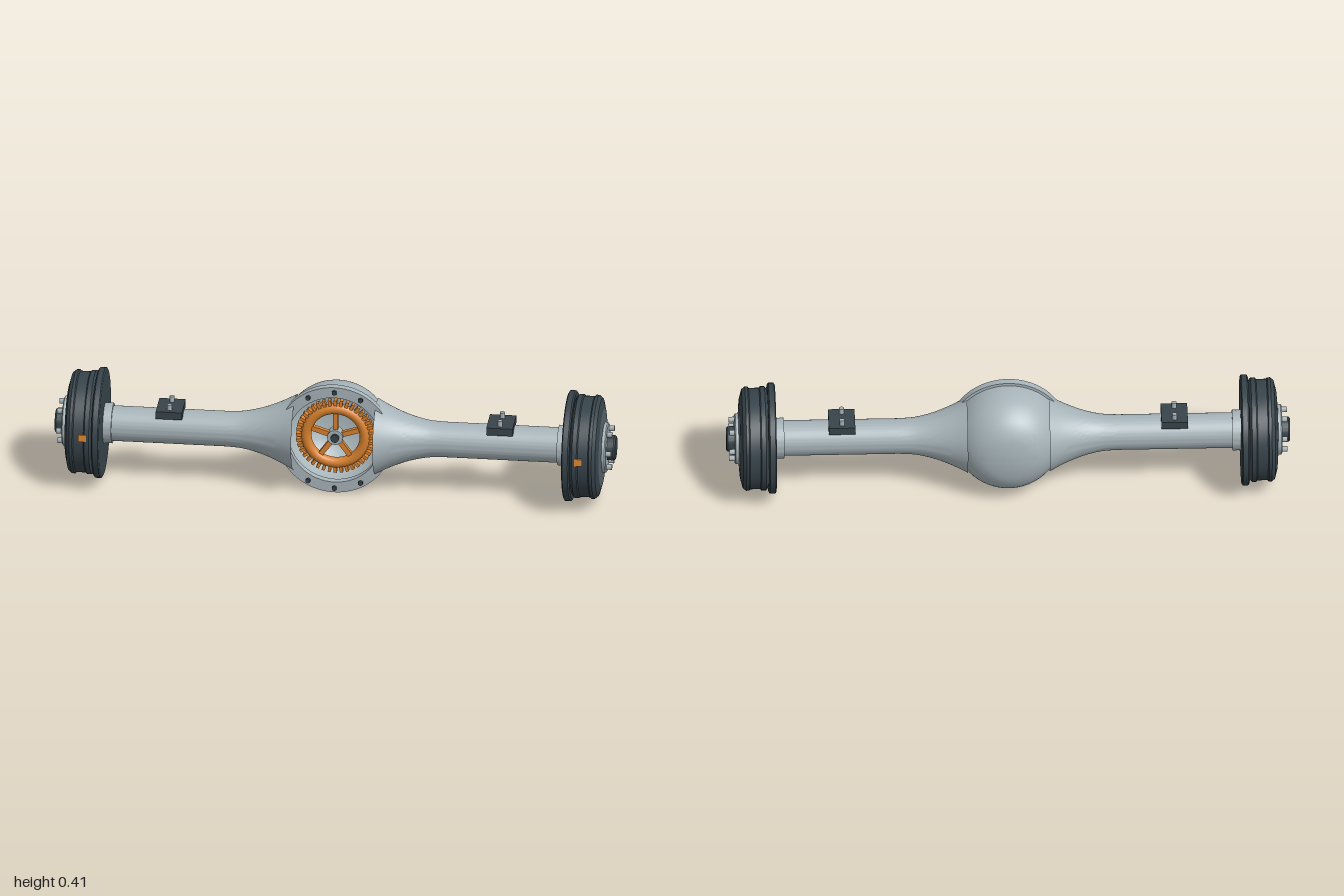
import * as THREE from 'three';
import { toCreasedNormals } from 'three/addons/utils/BufferGeometryUtils.js';

const CY = 0.205; // axle centre height

export function createModel() {
  const model = new THREE.Group();
  model.name = 'driveAxle';
  const material = (name, color, side = THREE.FrontSide) => {
    const m = new THREE.MeshStandardMaterial({ color, side });
    m.name = name;
    return m;
  };
  const steel = material('lightSteel', 0xa7b4b9, THREE.DoubleSide);
  const dark = material('darkIron', 0x37444b);
  const face = material('drumFace', 0x56636a);
  const orange = material('orange', 0xd9822f);

  const add = (parent, name, geometry, mat, x = 0, y = 0, z = 0) => {
    const mesh = new THREE.Mesh(geometry, mat);
    mesh.name = name;
    mesh.position.set(x, y, z);
    parent.add(mesh);
    return mesh;
  };
  // Profiles are [radius, position along axis] pairs
  const lathe = (points, axis, crease = 0.5) => {
    const g = toCreasedNormals(
      new THREE.LatheGeometry(points.map(([r, a]) => new THREE.Vector2(r, a)), 64), crease);
    return axis === 'x' ? g.rotateZ(-Math.PI / 2) : g.rotateX(Math.PI / 2);
  };
  const smooth = (points, n) =>
    new THREE.SplineCurve(points.map(([r, a]) => new THREE.Vector2(r, a)))
      .getPoints(n).map((p) => [Math.max(p.x, 0), p.y]);

  // Centre housing: rear bowl, flange ring and its bolts
  const centre = new THREE.Group();
  centre.name = 'centreHousing';
  centre.position.y = CY;
  model.add(centre);
  add(centre, 'rearBowl', lathe(smooth([[0, -0.172], [0.05, -0.168], [0.1, -0.155],
    [0.145, -0.125], [0.178, -0.075], [0.192, -0.02], [0.195, 0.025]], 28), 'z', 1), steel);
  add(centre, 'coverFlange', lathe([[0.165, 0.023], [0.205, 0.023], [0.205, 0.05],
    [0.165, 0.05], [0.165, 0.023]], 'z'), steel);
  for (let i = 0; i < 12; i++) {
    const a = (i * Math.PI) / 6;
    add(centre, 'flangeBolt', new THREE.CylinderGeometry(0.009, 0.009, 0.012, 6).rotateX(Math.PI / 2),
      dark, 0.187 * Math.cos(a), 0.187 * Math.sin(a), 0.054);
  }

  // Ring gear with teeth, spokes and hub
  const gear = new THREE.Group();
  gear.name = 'ringGear';
  gear.position.z = 0.012;
  centre.add(gear);
  add(gear, 'gearRim', new THREE.TorusGeometry(0.105, 0.019, 16, 64), orange);
  for (let i = 0; i < 40; i++) {
    const a = (i * Math.PI) / 20;
    const tooth = add(gear, 'gearTooth', new THREE.BoxGeometry(0.022, 0.011, 0.022), orange,
      0.13 * Math.cos(a), 0.13 * Math.sin(a), 0);
    tooth.rotation.z = a;
  }
  for (let i = 0; i < 5; i++) {
    const a = Math.PI / 2 + (i * Math.PI * 2) / 5;
    const spoke = add(gear, 'gearSpoke', new THREE.BoxGeometry(0.075, 0.018, 0.018), orange,
      0.058 * Math.cos(a), 0.058 * Math.sin(a), 0);
    spoke.rotation.z = a;
  }
  add(gear, 'gearHub', new THREE.CylinderGeometry(0.028, 0.028, 0.04, 32).rotateX(Math.PI / 2), steel);
  add(gear, 'gearPin', new THREE.CylinderGeometry(0.015, 0.015, 0.06, 24).rotateX(Math.PI / 2), dark);

  // One half axle, repeated on the other side by a half turn
  for (const s of [1, -1]) {
    const side = new THREE.Group();
    side.name = s > 0 ? 'leftHalf' : 'rightHalf';
    side.position.y = CY;
    side.rotation.y = s > 0 ? 0 : Math.PI;
    model.add(side);

    // Flared tube, open towards the centre
    add(side, 'axleTube', lathe([...smooth([[0.135, 0.145], [0.107, 0.2], [0.082, 0.265],
      [0.067, 0.33], [0.063, 0.39]], 20), [0.063, 0.82]], 'x', 1), steel);
    add(side, 'tubeCollar', lathe([[0.062, 0.795], [0.072, 0.795], [0.072, 0.828],
      [0.062, 0.828]], 'x'), steel);

    // Spring pad with two studs
    add(side, 'springPad', new THREE.BoxGeometry(0.094, 0.028, 0.116), dark, 0.59, 0.066, 0);
    for (const z of [-0.035, 0.035]) {
      add(side, 'padStud', new THREE.CylinderGeometry(0.009, 0.009, 0.022, 12), steel, 0.59, 0.09, z);
    }

    // Backing plate and brake drum
    add(side, 'backingPlate', lathe([[0, 0.825], [0.19, 0.825], [0.197, 0.829], [0.197, 0.848],
      [0.19, 0.853], [0, 0.853]], 'x'), dark);
    add(side, 'brakeDrum', lathe([[0.165, 0.85], [0.178, 0.856], [0.185, 0.862], [0.185, 0.878],
      [0.18, 0.882], [0.18, 0.918], [0.185, 0.922], [0.185, 0.932], [0.175, 0.944],
      [0.14, 0.953]], 'x'), dark);
    add(side, 'drumFace', lathe([[0.14, 0.953], [0.09, 0.957], [0, 0.957]], 'x'), face);

    // Hub plate, wheel bolts and cap
    add(side, 'hubPlate', lathe([[0.09, 0.95], [0.09, 0.967], [0.085, 0.971], [0, 0.971]], 'x'), steel);
    for (let i = 0; i < 6; i++) {
      const a = -0.1 + (i * Math.PI) / 3;
      add(side, 'wheelBolt', new THREE.CylinderGeometry(0.01, 0.01, 0.02, 6).rotateZ(-Math.PI / 2),
        steel, 0.98, 0.07 * Math.sin(a), -0.07 * Math.cos(a));
    }
    add(side, 'hubCap', lathe([[0.045, 0.965], [0.045, 0.994], [0.04, 1], [0, 1]], 'x'), dark);

    // Orange marker on the front of the drum
    const marker = add(model, 'drumMarker', new THREE.BoxGeometry(0.028, 0.025, 0.009), orange,
      s * 0.885, CY + 0.021, 0.182);
    marker.rotation.x = -0.11;
  }
  return model;
}
